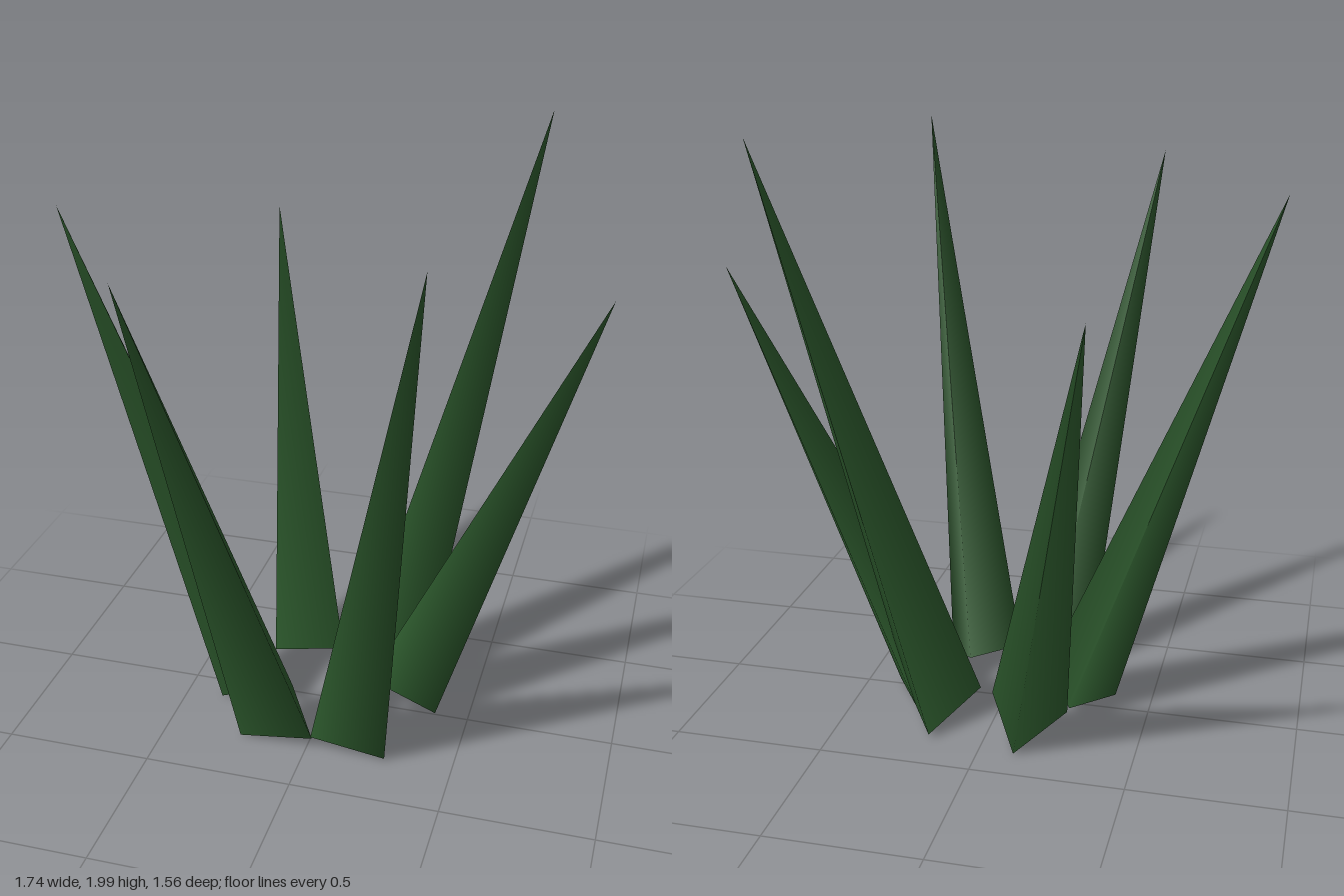
import * as THREE from 'three';

const BASE_RADIUS = 0.15;

// Each blade: centre of its base, then its tip
const BLADES = [
  [[-0.25, 0.055, 0.02], [-0.87, 1.78, 0.08]],
  [[0.265, 0.065, -0.065], [0.865, 1.53, -0.205]],
  [[0.18, 0.06, -0.205], [0.58, 2.0, -0.67]],
  [[-0.12, 0.06, -0.235], [-0.405, 1.56, -0.78]],
  [[-0.11, 0.052, 0.225], [-0.395, 1.81, 0.775]],
  [[0.145, 0.055, 0.225], [0.46, 1.915, 0.75]],
];

// Three-sided spike with one corner towards the back, leaning from base to tip
function makeBlade(base, tip, material) {
  const start = new THREE.Vector3(...base);
  const axis = new THREE.Vector3(...tip).sub(start);
  const length = axis.length();
  const geometry = new THREE.ConeGeometry(BASE_RADIUS, length, 3, 1, false, Math.PI);
  geometry.translate(0, length / 2, 0);
  const blade = new THREE.Mesh(geometry, material);
  blade.position.copy(start);
  blade.quaternion.setFromUnitVectors(new THREE.Vector3(0, 1, 0), axis.normalize());
  return blade;
}

export function createModel() {
  const group = new THREE.Group();
  group.name = 'grassTuft';
  const green = new THREE.MeshStandardMaterial({ color: 0x2d5a2d });
  BLADES.forEach(([base, tip], i) => {
    const blade = makeBlade(base, tip, green);
    blade.name = `grassBlade${i + 1}`;
    group.add(blade);
  });
  return group;
}
